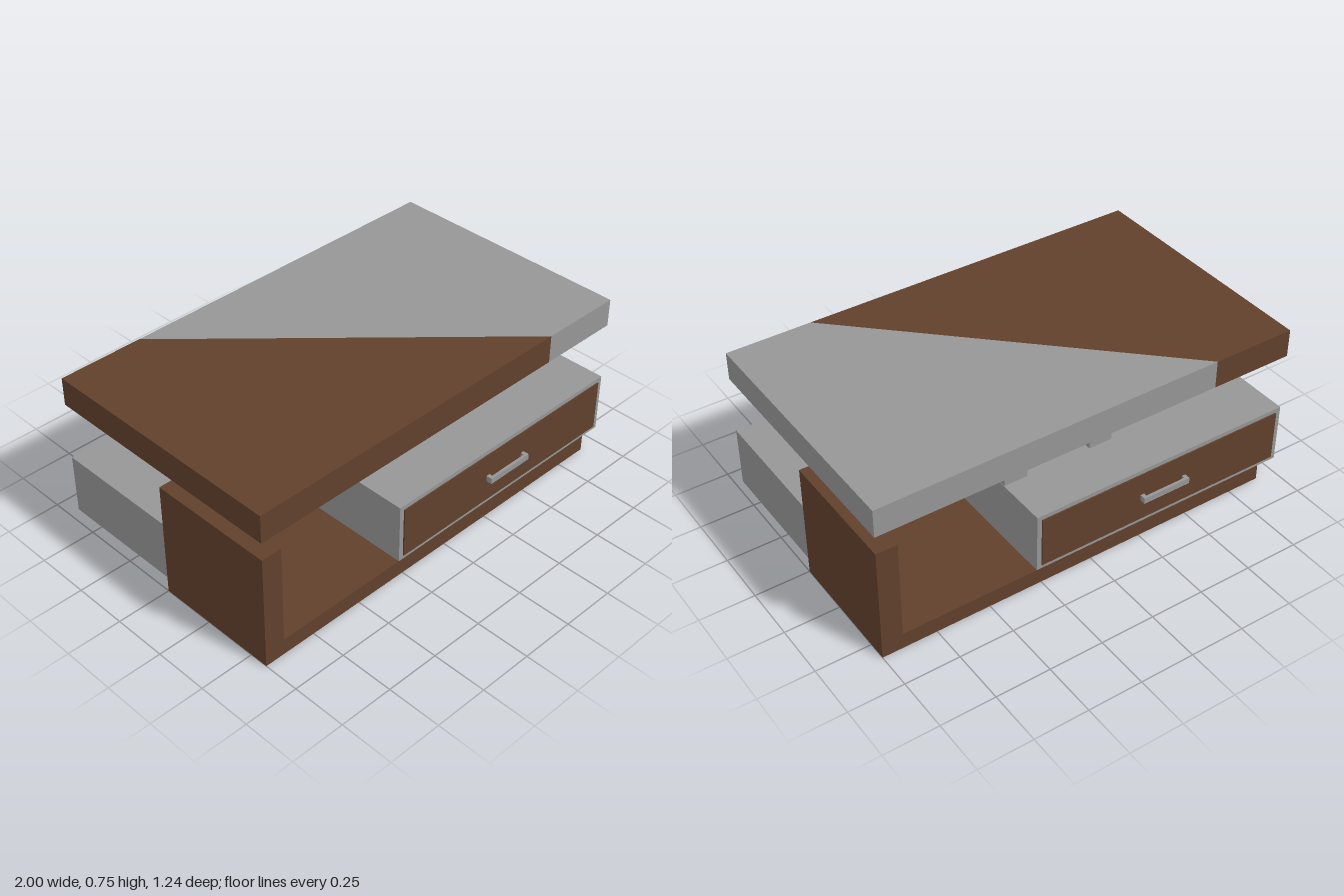
import * as THREE from 'three';

export function createModel() {
  const model = new THREE.Group();
  const wood = new THREE.MeshStandardMaterial({ color: 0x60402c });
  wood.name = 'brown wood';
  const grey = new THREE.MeshStandardMaterial({ color: 0x969696 });
  grey.name = 'grey lacquer';
  const D = 0.585; // half depth

  // Box given by its min and max corners
  function box(parent, name, mat, [x0, y0, z0], [x1, y1, z1]) {
    const mesh = new THREE.Mesh(new THREE.BoxGeometry(x1 - x0, y1 - y0, z1 - z0), mat);
    mesh.position.set((x0 + x1) / 2, (y0 + y1) / 2, (z0 + z1) / 2);
    mesh.name = name;
    parent.add(mesh);
  }

  // Base board
  box(model, 'base', wood, [-0.905, 0, -D], [0.905, 0.075, D]);

  // Each half holds a side panel, a drawer cabinet and a post; the rear one is turned half round
  for (const side of ['front', 'rear']) {
    const half = new THREE.Group();
    half.name = side + 'Half';
    half.rotation.y = side === 'front' ? 0 : Math.PI;
    box(half, 'sidePanel', wood, [-1, 0, 0], [-0.905, 0.542, D]);
    box(half, 'drawerCabinet', grey, [-0.272, 0.075, 0], [1, 0.355, D]);
    box(half, 'drawerFront', wood, [-0.25, 0.095, D], [0.975, 0.335, D + 0.006]);
    box(half, 'post', grey, [0.157, 0.355, -0.35], [0.27, 0.625, 0.35]);

    // Bar handle on two short legs
    const handle = new THREE.Group();
    handle.name = 'handle';
    box(handle, 'handleBar', grey, [0.245, 0.2, 0.606], [0.482, 0.228, 0.619]);
    for (const x of [0.245, 0.464]) {
      box(handle, 'handleLeg', grey, [x, 0.2, D], [x + 0.018, 0.228, 0.606]);
    }
    half.add(handle);
    model.add(half);
  }

  // Table top in two colours, parted along a diagonal
  const slab = (name, mat, outer) => {
    const points = [[outer, -D], [-0.61, -D], [0.61, D], [outer, D]];
    const shape = new THREE.Shape(points.map(([x, z]) => new THREE.Vector2(x, -z)));
    const geo = new THREE.ExtrudeGeometry(shape, { depth: 0.13, bevelEnabled: false });
    geo.rotateX(-Math.PI / 2);
    const mesh = new THREE.Mesh(geo, mat);
    mesh.position.y = 0.625;
    mesh.name = name;
    model.add(mesh);
  };
  slab('woodTop', wood, -1);
  slab('greyTop', grey, 1);

  return model;
}
